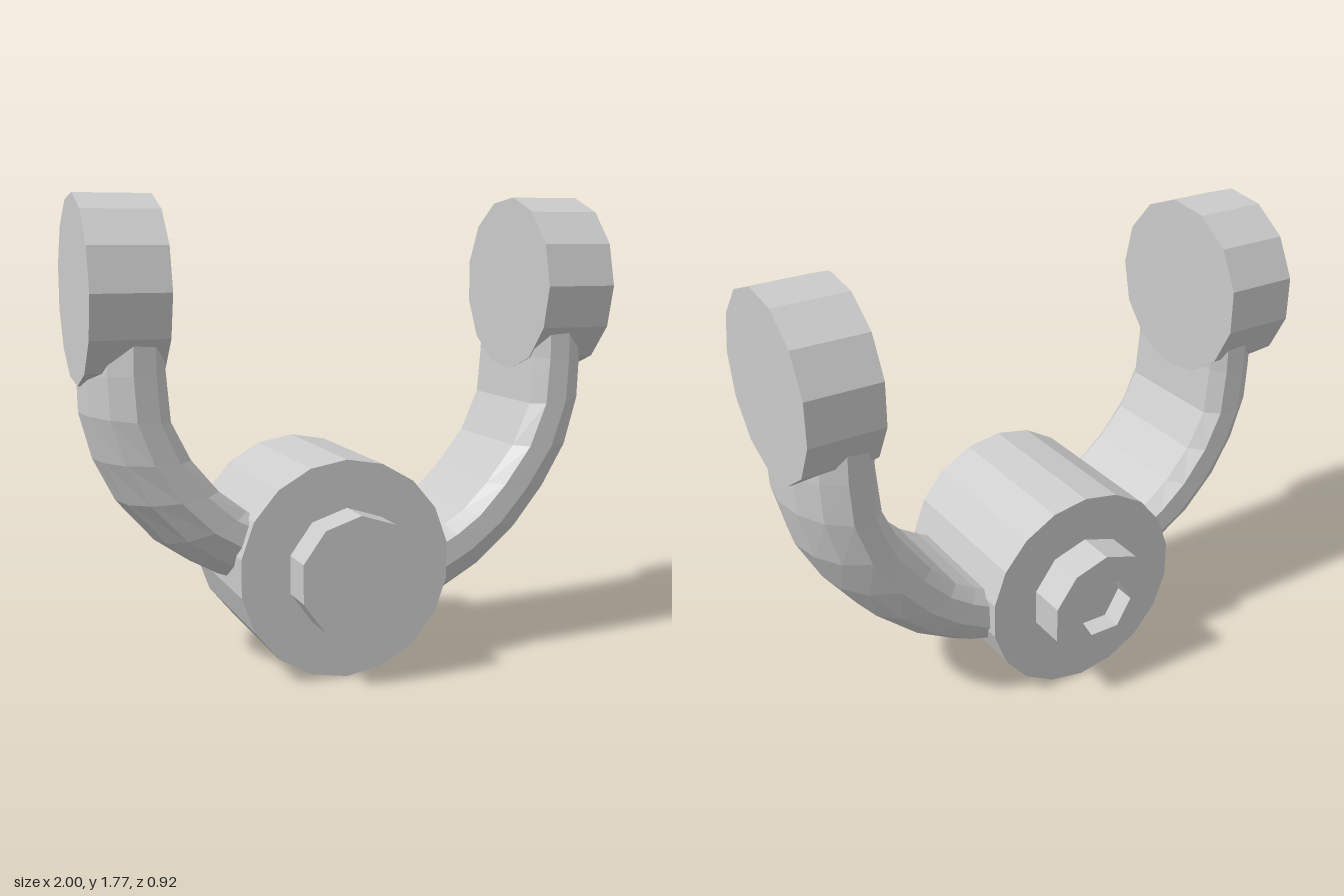
import * as THREE from 'three';

const material = new THREE.MeshStandardMaterial({ color: 0xcccccc, flatShading: true });
const HUB_X = -0.085, HUB_Y = 0.405;

function addMesh(group, name, geometry, x = 0, y = 0, z = 0) {
  const mesh = new THREE.Mesh(geometry, material);
  mesh.name = name;
  mesh.position.set(x, y, z);
  group.add(mesh);
  return mesh;
}

// D-shaped cross-section: [z, depth from inner face (0) to outer face (1)]
const half = [[0.225, 0], [0.275, 0.16], [0.28, 0.45], [0.22, 0.74], [0.12, 0.93]];
const section = [...half, [0, 1], ...half.map(([z, t]) => [-z, t]).reverse()];

// Sweeps the section along stations [innerX, innerY, outerX, outerY]
function armGeometry(stations, side) {
  const n = section.length, positions = [], index = [];
  for (const [ix, iy, ox, oy] of stations) {
    for (const [z, t] of section) {
      positions.push(side * (ix + (ox - ix) * t), iy + (oy - iy) * t, z);
    }
  }
  for (let i = 0; i < stations.length - 1; i++) {
    for (let j = 0; j < n; j++) {
      const a = i * n + j, b = i * n + (j + 1) % n, c = a + n, d = b + n;
      if (side > 0) index.push(a, c, b, b, c, d);
      else index.push(a, b, c, b, d, c);
    }
  }
  const geometry = new THREE.BufferGeometry();
  geometry.setAttribute('position', new THREE.Float32BufferAttribute(positions, 3));
  geometry.setIndex(index);
  const flat = geometry.toNonIndexed();
  flat.computeVertexNormals();
  return flat;
}

const upperArm = [
  [0.725, 1.32, 0.99, 1.32],
  [0.725, 1.15, 0.998, 1.13],
  [0.71, 0.97, 0.995, 0.99],
];
const leftArm = [
  ...upperArm,
  [0.64, 0.81, 0.95, 0.8],
  [0.53, 0.67, 0.86, 0.63],
  [0.43, 0.57, 0.73, 0.46],
  [0.35, 0.52, 0.56, 0.31],
  [0.27, 0.48, 0.4, 0.22],
  [0.18, 0.46, 0.24, 0.17],
];
const rightArm = [
  ...upperArm,
  [0.64, 0.83, 0.95, 0.82],
  [0.54, 0.71, 0.87, 0.66],
  [0.44, 0.63, 0.73, 0.5],
  [0.34, 0.58, 0.6, 0.41],
  [0.26, 0.54, 0.4, 0.3],
];

function polygon(radius, sides, PathType, turn = 0) {
  const points = [];
  for (let i = 0; i < sides; i++) {
    const a = turn + i / sides * Math.PI * 2;
    points.push(new THREE.Vector2(radius * Math.cos(a), radius * Math.sin(a)));
  }
  return new PathType(points);
}

export function createModel() {
  const group = new THREE.Group();
  group.name = 'yokeBracket';

  // Curved arms
  addMesh(group, 'leftArm', armGeometry(leftArm, 1));
  addMesh(group, 'rightArm', armGeometry(rightArm, -1));

  // Round ears at the arm ends
  for (const side of [1, -1]) {
    const ear = new THREE.CylinderGeometry(0.34, 0.34, 0.28, 13).rotateZ(Math.PI / 2);
    addMesh(group, side > 0 ? 'leftEar' : 'rightEar', ear, side * 0.86, 1.425, 0);
  }

  // Central hub
  const hub = new THREE.CylinderGeometry(0.408, 0.408, 0.63, 18).rotateX(Math.PI / 2);
  addMesh(group, 'hub', hub, HUB_X, HUB_Y, 0);

  // Solid front boss
  const front = new THREE.CylinderGeometry(0.23, 0.23, 0.2, 10).rotateX(Math.PI / 2);
  addMesh(group, 'frontBoss', front, HUB_X, HUB_Y, 0.36);

  // Back boss with a hexagonal socket
  const ring = polygon(0.23, 10, THREE.Shape, Math.PI / 10);
  ring.holes.push(polygon(0.12, 6, THREE.Path));
  const back = new THREE.ExtrudeGeometry(ring, { depth: 0.16, bevelEnabled: false });
  addMesh(group, 'backBoss', back, HUB_X, HUB_Y, -0.46);
  const floor = new THREE.CylinderGeometry(0.14, 0.14, 0.1, 10).rotateX(Math.PI / 2);
  addMesh(group, 'socketFloor', floor, HUB_X, HUB_Y, -0.33);

  return group;
}
